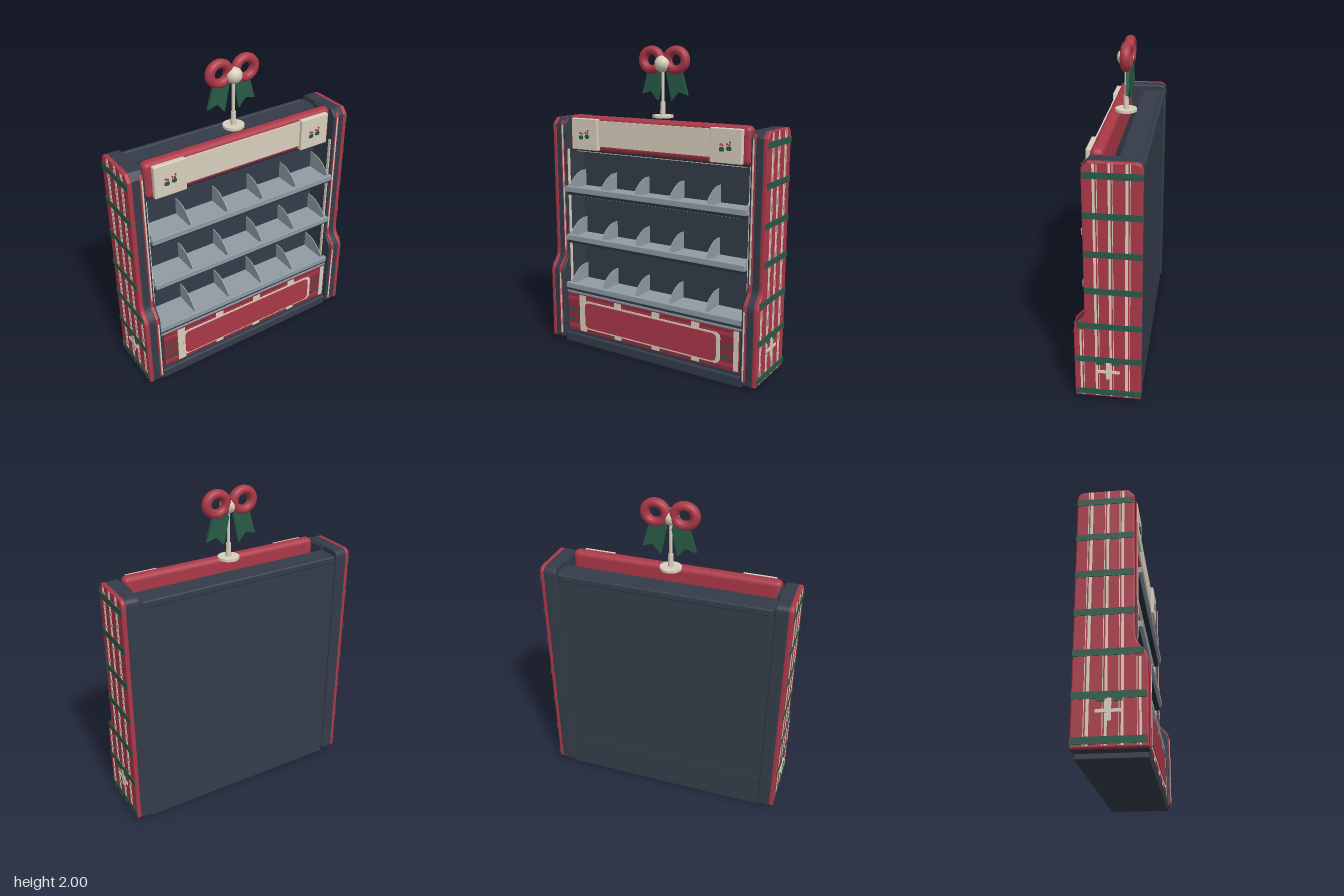
import * as THREE from 'three';
import { RoundedBoxGeometry } from 'three/addons/geometries/RoundedBoxGeometry.js';

const mat = (name, color) => Object.assign(new THREE.MeshStandardMaterial({ color }), { name });

export function createModel() {
  const red = mat('red', 0xaa3848), darkRed = mat('dark red', 0x8a2f3d), navy = mat('navy', 0x343c49);
  const cream = mat('cream', 0xd8cebc), grey = mat('shelf grey', 0x8f9ba3), green = mat('ribbon green', 0x285a46);
  const darkNavy = mat('dark navy', 0x272d37);
  const root = new THREE.Group();
  root.name = 'giftDisplayStand';

  const add = (parent, name, geo, material) => {
    const m = new THREE.Mesh(geo, material);
    m.name = name;
    parent.add(m);
    return m;
  };
  const group = (name, parent = root) => {
    const g = new THREE.Group();
    g.name = name;
    parent.add(g);
    return g;
  };
  // box given by its low and high limits on each axis, r rounds the edges
  const box = (parent, name, material, x0, x1, y0, y1, z0, z1, r = 0) => {
    const s = [x1 - x0, y1 - y0, z1 - z0];
    const geo = r ? new RoundedBoxGeometry(...s, 3, r) : new THREE.BoxGeometry(...s);
    geo.translate((x0 + x1) / 2, (y0 + y1) / 2, (z0 + z1) / 2);
    return add(parent, name, geo, material);
  };
  // shape drawn in (z, y), extruded from x0 to x1
  const extrudeX = (shape, x0, x1, b = 0) => {
    const geo = new THREE.ExtrudeGeometry(shape, {
      depth: x1 - x0 - 2 * b, curveSegments: 8,
      bevelEnabled: b > 0, bevelSize: b, bevelThickness: b, bevelOffset: -b, bevelSegments: 3,
    });
    return geo.rotateY(-Math.PI / 2).translate(x1 - b, 0, 0);
  };
  const roundedRect = (x0, x1, y0, y1, r) => {
    const s = new THREE.Shape();
    s.absarc(x1 - r, y1 - r, r, 0, Math.PI / 2);
    s.absarc(x0 + r, y1 - r, r, Math.PI / 2, Math.PI);
    s.absarc(x0 + r, y0 + r, r, Math.PI, Math.PI * 1.5);
    s.absarc(x1 - r, y0 + r, r, Math.PI * 1.5, Math.PI * 2);
    return s;
  };
  // flat plate facing forward
  const plate = (parent, name, material, shape, z0, z1) =>
    add(parent, name, new THREE.ExtrudeGeometry(shape, { depth: z1 - z0, bevelEnabled: false }).translate(0, 0, z0), material);

  // Side panel outline: straight back, stepped-out lower front
  const sideShape = (back, grow = 0) => {
    const s = new THREE.Shape();
    s.moveTo(back, 0.03);
    s.lineTo(0.195 + grow, 0.03);
    s.lineTo(0.195 + grow, 0.49);
    s.bezierCurveTo(0.195 + grow, 0.55, 0.13 + grow, 0.56, 0.13 + grow, 0.63);
    s.lineTo(0.13 + grow, 1.495);
    s.lineTo(0.095, 1.535);
    s.lineTo(back + 0.045, 1.535);
    s.quadraticCurveTo(back, 1.535, back, 1.49);
    return s;
  };

  // Cabinet: base, back, lower bin
  const cabinet = group('cabinet');
  box(cabinet, 'base', navy, -0.672, 0.672, 0, 0.065, -0.19, 0.185, 0.008);
  box(cabinet, 'backWall', navy, -0.67, 0.67, 0.243, 1.5, -0.187, -0.05);
  box(cabinet, 'backTopLip', navy, -0.655, 0.655, 1.46, 1.505, -0.198, -0.17, 0.01);
  box(cabinet, 'lowerCase', navy, -0.67, 0.67, 0.06, 0.24, -0.189, 0.165);
  box(cabinet, 'lowerCaseTop', navy, -0.67, 0.67, 0.24, 0.385, -0.184, 0.165);
  box(cabinet, 'lowerTrim', grey, -0.66, 0.66, 0.356, 0.366, 0.16, 0.172);

  // Side panels with plaid outer faces, mirrored by sign
  for (const s of [1, -1]) {
    const side = group(s > 0 ? 'leftSide' : 'rightSide');
    const span = (a, b) => (s > 0 ? [a, b] : [-b, -a]);
    add(side, 'sideCore', extrudeX(sideShape(-0.198), ...span(0.67, 0.75), 0.008), navy);
    add(side, 'sidePanel', extrudeX(sideShape(-0.195, 0.002), ...span(0.745, 0.775), 0.008), red);

    // raised front trim with light inlays
    const trim = new THREE.Shape([[0.12, 0.05], [0.203, 0.05], [0.203, 0.49], [0.196, 0.53], [0.142, 0.59],
      [0.137, 0.63], [0.137, 1.49], [0.12, 1.52]].map(p => new THREE.Vector2(...p)));
    add(side, 'frontTrim', extrudeX(trim, ...span(0.684, 0.703)), red);
    box(side, 'trimInlayUpper', cream, ...span(0.686, 0.695), 0.64, 1.49, 0.135, 0.14);
    box(side, 'trimInlayLower', cream, ...span(0.686, 0.695), 0.06, 0.49, 0.2, 0.206);
    box(side, 'innerEdge', cream, ...span(0.662, 0.671), 0.065, 1.33, 0.1, 0.118);

    // plaid: vertical light stripes, horizontal green bands
    const face = span(0.774, 0.777), over = span(0.774, 0.779);
    for (const [z, w, top] of [[0.156, 0.012, 0.5], [0.066, 0.014, 1.525], [-0.017, 0.014, 1.53], [-0.11, 0.016, 1.53]]) {
      box(side, 'plaidStripe', cream, ...face, 0.04, top, z - w / 2, z + w / 2);
      box(side, 'plaidThinStripe', cream, ...face, 0.04, top, z - w / 2 - 0.012, z - w / 2 - 0.008);
    }
    for (let i = 0; i < 7; i++) {
      const y = 0.068 + i * 0.232;
      box(side, 'plaidBand', green, ...over, y - 0.019, y + 0.019, -0.195, y < 0.5 ? 0.19 : y < 0.6 ? 0.175 : 0.127);
    }
    // cross ornament
    const orn = span(0.774, 0.781);
    box(side, 'crossBar', cream, ...orn, 0.208, 0.226, -0.07, 0.07);
    box(side, 'crossPost', cream, ...orn, 0.165, 0.283, -0.011, 0.011);
    for (const z of [-0.045, 0.045]) box(side, 'crossLeaf', green, ...orn, 0.266, 0.284, z - 0.022, z + 0.022);
  }

  // Shelves with front lip, dividers and light strip
  const divider = new THREE.Shape();
  divider.moveTo(-0.05, 0);
  divider.lineTo(0.135, 0);
  divider.lineTo(0.135, 0.03);
  divider.quadraticCurveTo(0.06, 0.115, -0.01, 0.122);
  divider.lineTo(-0.05, 0.122);
  for (const [y, dz] of [[0.385, 0.015], [0.718, 0], [1.05, 0]]) {
    const shelf = group('shelf');
    box(shelf, 'shelfPlate', grey, -0.662, 0.662, y, y + 0.012, -0.05, 0.135 + dz);
    box(shelf, 'shelfLip', grey, -0.665, 0.665, y, y + 0.038, 0.132 + dz, 0.16 + dz, 0.004);
    box(shelf, 'shelfBeam', darkNavy, -0.66, 0.66, y - 0.022, y, -0.05, 0.14 + dz);
    if (y > 0.5) box(shelf, 'lightStrip', cream, -0.62, 0.62, y - 0.031, y - 0.022, 0.09, 0.11);
    for (let i = 0; i < 6; i++) {
      const x = -0.652 + i * 0.2608;
      add(shelf, 'divider', extrudeX(divider, x - 0.003, x + 0.003), grey).position.y = y;
    }
  }

  // Lower front panel
  const front = group('lowerFrontPanel');
  box(front, 'panelBacking', darkRed, -0.65, 0.65, 0.09, 0.352, 0.16, 0.176);
  box(front, 'panelBandLeft', cream, -0.55, -0.495, 0.095, 0.35, 0.175, 0.179);
  box(front, 'panelBandRight', cream, 0.615, 0.648, 0.095, 0.35, 0.175, 0.179);
  for (const x of [-0.233, 0.062, 0.352]) box(front, 'panelBand', cream, x - 0.028, x + 0.028, 0.095, 0.35, 0.175, 0.179);
  for (const y of [0.165, 0.235]) {
    box(front, 'panelGreenBand', green, -0.648, -0.55, y - 0.006, y + 0.006, 0.175, 0.178);
    box(front, 'panelGreenBand', green, 0.52, 0.615, y - 0.006, y + 0.006, 0.175, 0.178);
  }
  for (const y of [0.125, 0.32]) box(front, 'panelRedBand', red, -0.648, 0.615, y - 0.012, y + 0.012, 0.175, 0.1775);
  plate(front, 'signBorder', cream, roundedRect(-0.515, 0.525, 0.118, 0.318, 0.035), 0.176, 0.182);
  plate(front, 'signFace', red, roundedRect(-0.498, 0.5, 0.13, 0.307, 0.03), 0.18, 0.187);

  // Header sign
  const header = group('header');
  box(header, 'headerFrame', red, -0.658, 0.658, 1.328, 1.557, 0.03, 0.105, 0.032);
  box(header, 'headerFace', cream, -0.61, 0.61, 1.365, 1.53, 0.1, 0.115);
  box(header, 'headerLight', cream, -0.62, 0.62, 1.316, 1.326, 0.06, 0.08);
  box(header, 'headerSupport', darkNavy, -0.66, 0.66, 1.322, 1.333, -0.05, 0.09);
  for (const s of [1, -1]) {
    const cx = s * 0.512;
    box(header, 'cornerCard', cream, cx - 0.103, cx + 0.103, 1.337, 1.54, 0.1, 0.133, 0.005);
    for (const [dx, y] of [[-0.025, 1.418], [0.022, 1.425]])
      plate(header, 'hollyLeaf', green, roundedRect(cx + dx - 0.016, cx + dx + 0.016, y - 0.013, y + 0.013, 0.01), 0.132, 0.136);
    for (const [dx, y] of [[-0.032, 1.447], [-0.018, 1.442], [0.01, 1.45], [0.03, 1.462], [0.026, 1.446]])
      plate(header, 'hollyBerry', red, roundedRect(cx + dx - 0.006, cx + dx + 0.006, y - 0.006, y + 0.006, 0.005), 0.132, 0.137);
  }
  for (const s of [1, -1]) box(header, 'headerBracket', navy, s * 0.663 - 0.01, s * 0.663 + 0.01, 1.46, 1.525, -0.06, 0.07);

  // Bow on a stem
  const bow = group('bowTopper');
  const turned = (name, r0, r1, y0, y1) =>
    add(bow, name, new THREE.CylinderGeometry(r1, r0, y1 - y0, 24).translate(0, (y0 + y1) / 2, -0.008), cream);
  turned('stemFoot', 0.066, 0.066, 1.563, 1.579);
  turned('stemSocket', 0.017, 0.015, 1.579, 1.66);
  turned('stem', 0.01, 0.01, 1.66, 1.87);
  add(bow, 'bowKnot', new THREE.SphereGeometry(0.05, 24, 16).translate(0, 1.89, -0.003), cream);
  for (const s of [1, -1]) {
    const loop = add(bow, 'bowLoop', new THREE.TorusGeometry(0.06, 0.028, 14, 36), red);
    loop.scale.set(1.05, 0.98, 1.1);
    loop.position.set(s * 0.088, 1.913, -0.021);
    const pts = [[0.015, 1.83], [0.05, 1.665], [0.1, 1.722], [0.164, 1.703], [0.118, 1.86], [0.03, 1.88]];
    const tail = new THREE.Shape(pts.map(([x, y]) => new THREE.Vector2(s * x, y)));
    plate(bow, 'bowTail', green, tail, -0.042, -0.024);
  }
  return root;
}
